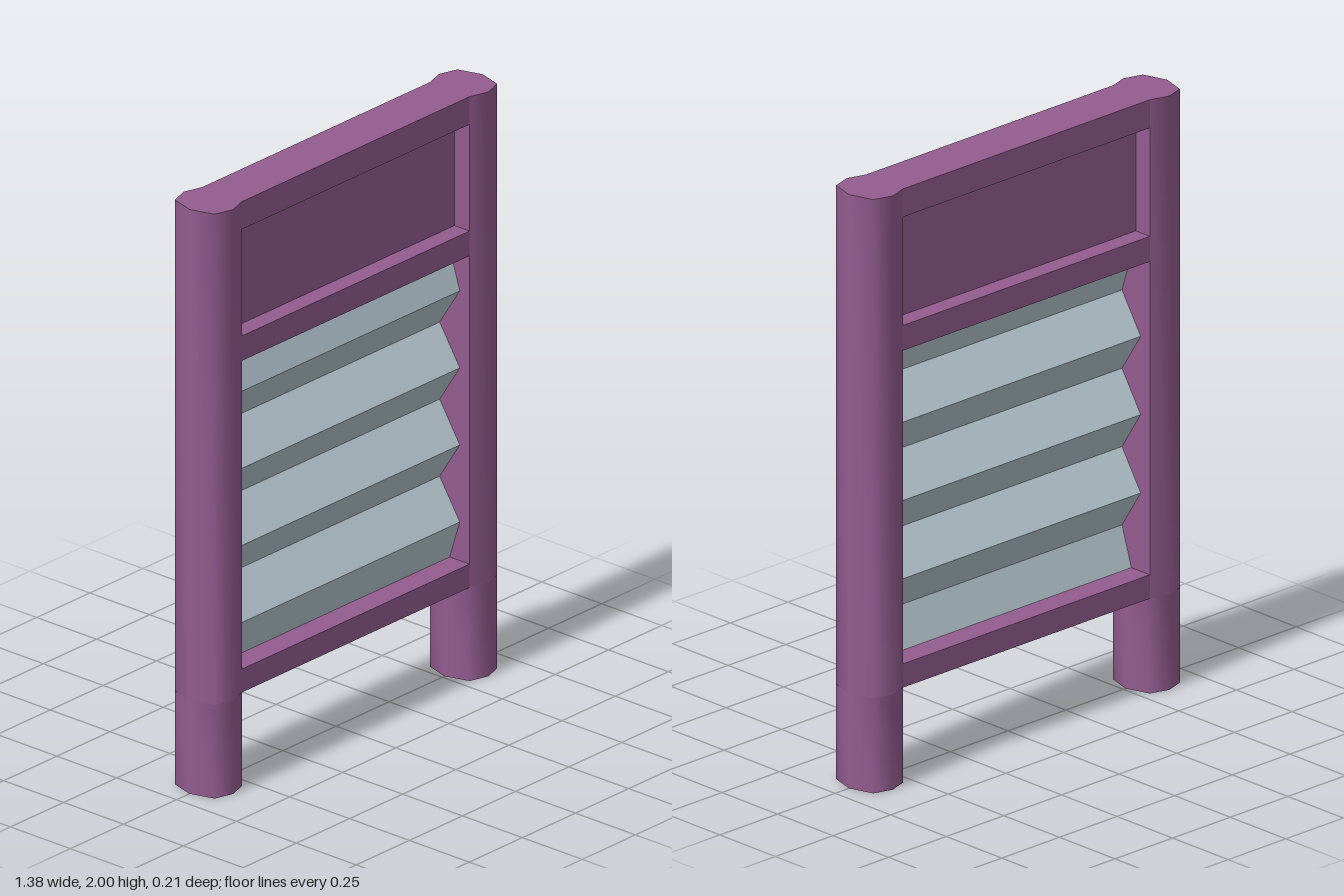
import * as THREE from 'three';
import { toCreasedNormals } from 'three/addons/utils/BufferGeometryUtils.js';

export function createModel() {
  const group = new THREE.Group();
  const wood = new THREE.MeshStandardMaterial({ color: 0x935c90 });
  const metal = new THREE.MeshStandardMaterial({ color: 0xb9cad3, side: THREE.DoubleSide });

  const INNER = 0.535, HALF = 0.083, RAIL_BOTTOM = 0.32;

  function add(name, geometry, material) {
    const mesh = new THREE.Mesh(geometry, material);
    mesh.name = name;
    group.add(mesh);
    return mesh;
  }

  // Vertical prism from a plan outline, with softly rounded sides
  function prism(outline, y0, y1) {
    const shape = new THREE.Shape(outline.map(([x, z]) => new THREE.Vector2(x, z)));
    const g = new THREE.ExtrudeGeometry(shape, { depth: y1 - y0, bevelEnabled: false });
    g.rotateX(-Math.PI / 2).translate(0, y0, 0);
    return toCreasedNormals(g, Math.PI / 3);
  }

  // Posts: flat on the inside where they meet the frame, eight-sided legs below
  const upper = [[INNER, -HALF], [0.6, -0.103], [0.665, -HALF], [0.69, 0],
    [0.665, HALF], [0.6, 0.103], [INNER, HALF]];
  const lower = [...upper, [0.51, 0]];
  for (const [side, angle] of [['left', 0], ['right', Math.PI]]) {
    add(side + 'Post', prism(upper, RAIL_BOTTOM, 2), wood).rotation.y = angle;
    add(side + 'Leg', prism(lower, 0, RAIL_BOTTOM), wood).rotation.y = angle;
  }

  // Cross rails and recessed top panel
  function board(name, y0, y1, depth) {
    const g = new THREE.BoxGeometry(2 * INNER, y1 - y0, depth);
    add(name, g.translate(0, (y0 + y1) / 2, 0), wood);
  }
  board('topRail', 1.905, 2, 2 * HALF);
  board('middleRail', 1.455, 1.54, 2 * HALF);
  board('bottomRail', RAIL_BOTTOM, 0.4, 2 * HALF);
  board('topPanel', 1.54, 1.905, 0.04);

  // Corrugated metal sheet: a plane folded into a zigzag
  const folds = 8, y0 = 0.4, y1 = 1.455;
  const sheet = new THREE.PlaneGeometry(2 * INNER, y1 - y0, 1, folds);
  const p = sheet.attributes.position;
  for (let i = 0; i < p.count; i++) {
    const row = Math.floor(i / 2);
    const z = row === 0 || row === folds ? 0 : row % 2 ? 0.042 : -0.042;
    p.setZ(i, z);
  }
  sheet.translate(0, (y0 + y1) / 2, 0);
  add('corrugatedSheet', toCreasedNormals(sheet, 0.1), metal);

  return group;
}
